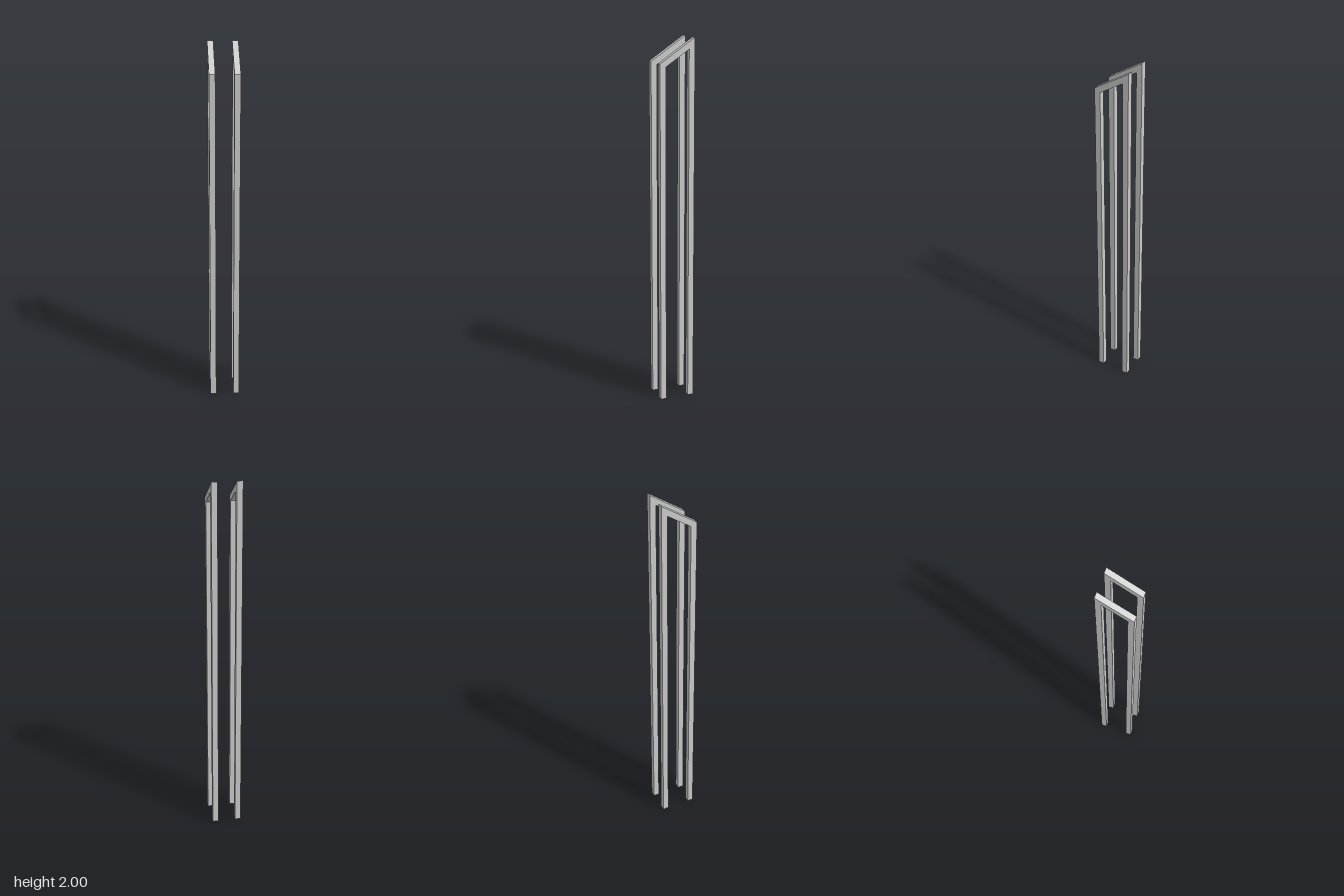
import * as THREE from 'three';

const BAR = 0.032;      // square bar thickness
const HALF_DEPTH = 0.097;
const FRONT_Y = 1.87;   // outer height at the front
const BACK_Y = 2;       // outer height at the back
const FRAME_X = 0.065;  // frame centre offset

// Side outline of one frame: two legs joined by a sloping top bar (u = z, v = y)
function frameGeometry() {
  const slope = (BACK_Y - FRONT_Y) / (2 * HALF_DEPTH);
  const drop = BAR * Math.hypot(1, slope);
  const inner = HALF_DEPTH - BAR;
  const innerY = (z) => FRONT_Y + (HALF_DEPTH - z) * slope - drop;

  const outline = new THREE.Shape([
    [HALF_DEPTH, 0], [HALF_DEPTH, FRONT_Y], [-HALF_DEPTH, BACK_Y], [-HALF_DEPTH, 0],
    [-inner, 0], [-inner, innerY(-inner)], [inner, innerY(inner)], [inner, 0],
  ].map(([z, y]) => new THREE.Vector2(z, y)));

  const geometry = new THREE.ExtrudeGeometry(outline, { depth: BAR, bevelEnabled: false });
  geometry.translate(0, 0, -BAR / 2);
  geometry.rotateY(-Math.PI / 2);
  return geometry;
}

export function createModel() {
  const group = new THREE.Group();
  group.name = 'pairOfFrames';
  const material = new THREE.MeshStandardMaterial({ color: 0xcccccc, flatShading: true });
  const geometry = frameGeometry();

  // Two matching frames, side by side
  for (const [name, side] of [['leftFrame', 1], ['rightFrame', -1]]) {
    const frame = new THREE.Mesh(geometry, material);
    frame.name = name;
    frame.position.x = side * FRAME_X;
    group.add(frame);
  }
  return group;
}
